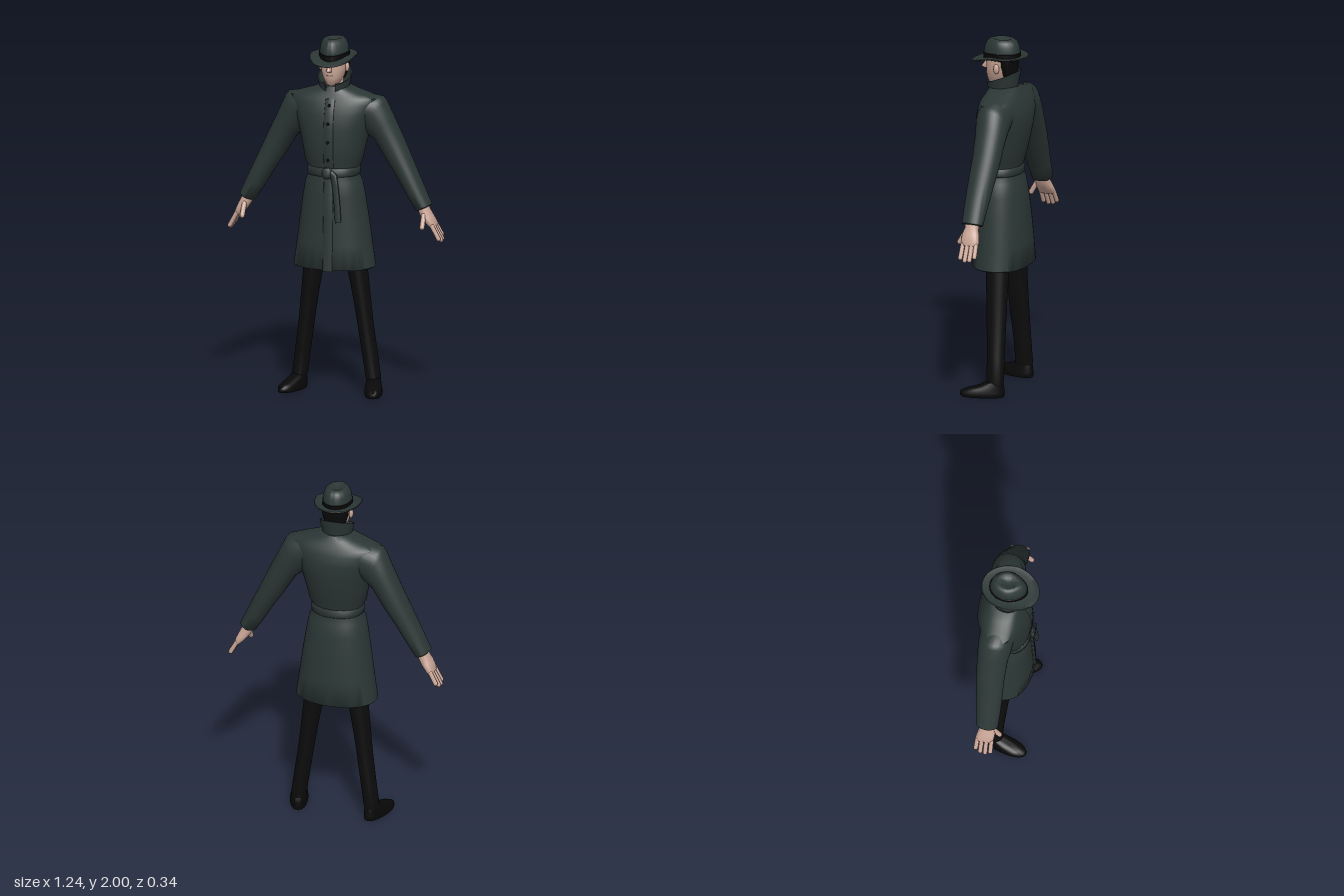
import * as THREE from 'three';
import { toCreasedNormals } from 'three/addons/utils/BufferGeometryUtils.js';

const mat = (name, color, side = THREE.FrontSide) => {
  const m = new THREE.MeshStandardMaterial({ color, side });
  m.name = name;
  return m;
};

// Closed solid through oval rings: [outerX, outerY, innerX, innerY, zFront, zBack]
function loft(rings, { seg = 32, power = 1, mirror = 1, crease = 0.9 } = {}) {
  const pos = [], idx = [];
  const bend = v => Math.sign(v) * Math.abs(v) ** power;
  for (const [ax, ay, bx, by, zf, zb] of rings) {
    for (let i = 0; i < seg; i++) {
      const t = i / seg * Math.PI * 2, c = bend(Math.cos(t)), s = bend(Math.sin(t));
      pos.push(mirror * ((ax + bx) / 2 + (ax - bx) / 2 * c), (ay + by) / 2 + (ay - by) / 2 * c,
        (zf + zb) / 2 + (zf - zb) / 2 * s);
    }
  }
  const n = rings.length;
  for (let r = 0; r < n - 1; r++) {
    for (let i = 0; i < seg; i++) {
      const j = (i + 1) % seg, a = r * seg + i, b = r * seg + j;
      idx.push(a, a + seg, b, b, a + seg, b + seg);
    }
  }
  for (const [r, end] of [[0, false], [n - 1, true]]) {
    const [ax, ay, bx, by, zf, zb] = rings[r], c = pos.length / 3;
    pos.push(mirror * (ax + bx) / 2, (ay + by) / 2, (zf + zb) / 2);
    for (let i = 0; i < seg; i++) {
      const a = r * seg + i, b = r * seg + (i + 1) % seg;
      idx.push(...(end ? [c, b, a] : [c, a, b]));
    }
  }
  // Turn the faces outward whichever way the rings run
  const v = k => new THREE.Vector3().fromArray(pos, idx[k] * 3);
  let volume = 0;
  for (let k = 0; k < idx.length; k += 3) volume += v(k).dot(v(k + 1).cross(v(k + 2)));
  if (volume < 0) idx.reverse();
  const g = new THREE.BufferGeometry();
  g.setAttribute('position', new THREE.Float32BufferAttribute(pos, 3));
  g.setIndex(idx);
  return toCreasedNormals(g, crease);
}

// Upright symmetric ring
const level = (y, rx, zf, zb) => [rx, y, -rx, y, zf, zb];

// Lathe whose vertices are then moved by a rule
function shapedLathe(points, rule, start = 0, length = Math.PI * 2) {
  const g = new THREE.LatheGeometry(points.map(p => new THREE.Vector2(...p)), 48, start, length);
  const p = g.attributes.position, v = new THREE.Vector3();
  for (let i = 0; i < p.count; i++) {
    rule(v.fromBufferAttribute(p, i));
    p.setXYZ(i, v.x, v.y, v.z);
  }
  return toCreasedNormals(g, 0.8);
}

// Rounded limb between two points
function capsule(a, b, r) {
  const A = new THREE.Vector3(...a), B = new THREE.Vector3(...b), d = B.clone().sub(A);
  const g = new THREE.CapsuleGeometry(r, d.length() - r, 4, 10);
  g.applyQuaternion(new THREE.Quaternion().setFromUnitVectors(new THREE.Vector3(0, 1, 0), d.normalize()));
  return g.translate(...A.add(B).multiplyScalar(0.5).toArray());
}

export function createModel() {
  const root = new THREE.Group();
  root.name = 'manInOvercoat';
  const cloth = mat('coatCloth', 0x2b3735, THREE.DoubleSide);
  const black = mat('blackCloth', 0x0c0c0d);
  const dark = mat('blackLeather', 0x080808);
  const skin = mat('skin', 0xc9a596);
  const lip = mat('lip', 0x8f6e63);
  const add = (name, geo, material) => {
    const m = new THREE.Mesh(geo, material);
    m.name = name;
    root.add(m);
    return m;
  };

  // Coat body, beginning with the lining inside the hem
  add('coat', loft([
    level(0.98, 0.16, 0.11, -0.12), level(0.73, 0.218, 0.134, -0.158), level(0.712, 0.224, 0.142, -0.166),
    level(0.718, 0.231, 0.147, -0.171), level(0.85, 0.212, 0.142, -0.164), level(1.0, 0.192, 0.136, -0.152),
    level(1.12, 0.174, 0.132, -0.139), level(1.2, 0.159, 0.128, -0.126), level(1.24, 0.14, 0.118, -0.11),
    level(1.275, 0.14, 0.118, -0.11), level(1.31, 0.16, 0.126, -0.12), level(1.4, 0.178, 0.132, -0.142),
    level(1.5, 0.203, 0.132, -0.161), level(1.58, 0.232, 0.122, -0.167), level(1.635, 0.252, 0.104, -0.155),
    level(1.67, 0.256, 0.088, -0.138), level(1.69, 0.2, 0.078, -0.126), level(1.71, 0.135, 0.07, -0.114),
    level(1.735, 0.075, 0.06, -0.098),
  ], { seg: 48, power: 0.92 }), cloth);

  // Overlapping front edge and buttons
  const edge = [[0.706, 0.147], [0.85, 0.142], [1.0, 0.136], [1.2, 0.128], [1.24, 0.118], [1.275, 0.118],
    [1.31, 0.126], [1.4, 0.132], [1.5, 0.132], [1.58, 0.122], [1.635, 0.104], [1.67, 0.088]];
  add('placket', loft(edge.map(([y, z]) => [0.034, y, -0.022, y, z + 0.004, z - 0.016]),
    { seg: 16, power: 0.5 }), cloth);
  for (const [y, z] of [[1.635, 0.107], [1.535, 0.131], [1.43, 0.136], [1.33, 0.131]]) {
    add('button', new THREE.CylinderGeometry(0.009, 0.009, 0.01, 14).rotateX(Math.PI / 2).translate(0.004, y, z), dark);
  }

  // Belt, knot and hanging end
  add('belt', loft([level(1.236, 0.143, 0.128, -0.118), level(1.24, 0.147, 0.131, -0.121),
    level(1.28, 0.147, 0.131, -0.121), level(1.284, 0.143, 0.128, -0.118)], { seg: 48, power: 0.92 }), cloth);
  add('beltKnot', loft([level(1.228, 0.018, 0.142, 0.11), level(1.24, 0.027, 0.149, 0.11),
    level(1.275, 0.027, 0.149, 0.11), level(1.288, 0.018, 0.142, 0.11)], { seg: 16, power: 0.6 }), cloth);
  const hang = [[0.015, 1.268, 0.142], [0.04, 1.248, 0.148], [0.05, 1.18, 0.146], [0.06, 1.08, 0.148], [0.068, 0.985, 0.155]];
  add('beltEnd', loft(hang.map(([x, y, z]) => [x + 0.017, y + 0.006, x - 0.017, y - 0.002, z, z - 0.018]),
    { seg: 16, power: 0.5 }), cloth);

  // Standing collar, open at the throat and higher behind
  add('collar', shapedLathe([[0.078, -0.012], [0.086, 0.03], [0.097, 0.078], [0.09, 0.078], [0.076, 0.03], [0.068, -0.012]],
    v => { v.z -= 0.012; v.y += 1.705 - 0.42 * v.z; }, 0.3, Math.PI * 2 - 0.6), cloth);

  // Head
  add('neck', new THREE.CylinderGeometry(0.047, 0.052, 0.13, 24).translate(0, 1.735, -0.008), skin);
  add('head', loft([level(1.738, 0.022, 0.066, -0.03), level(1.748, 0.036, 0.077, -0.05), level(1.785, 0.057, 0.086, -0.066),
    level(1.83, 0.07, 0.088, -0.076), level(1.87, 0.074, 0.085, -0.08), level(1.915, 0.072, 0.08, -0.08)],
  { power: 0.9 }), skin);
  add('nose', loft([level(1.822, 0.013, 0.108, 0.075), level(1.828, 0.015, 0.123, 0.075),
    level(1.85, 0.01, 0.108, 0.075), level(1.88, 0.008, 0.092, 0.07)], { seg: 12 }), skin);
  add('mouth', new THREE.BoxGeometry(0.034, 0.005, 0.008).translate(0, 1.799, 0.086), lip);
  add('hair', loft([level(1.765, 0.045, -0.03, -0.076), level(1.8, 0.062, -0.012, -0.083),
    level(1.85, 0.075, 0.0, -0.088), level(1.905, 0.077, 0.01, -0.088)], { power: 0.85 }), dark);

  // Hat: dipped brim, band and pinched crown
  const droop = z => -0.29 * Math.max(0, z - 0.03);
  add('hatBrim', shapedLathe([[0.06, 0], [0.1, -0.003], [0.129, 0.003], [0.131, 0.007], [0.128, 0.01], [0.1, 0.004], [0.06, 0.006]],
    v => { v.z = v.z * 1.24 + 0.01; v.y += 1.9 + droop(v.z); }), cloth);
  const taper = v => { v.z *= 1.3; v.x *= 1 - 1.6 * Math.max(0, v.z - 0.02); };
  add('hatBand', shapedLathe([[0.079, 1.885], [0.083, 1.888], [0.083, 1.924], [0.077, 1.926]],
    v => { taper(v); v.y += droop(v.z) * 0.5; }), dark);
  add('hatCrown', shapedLathe([[0.079, 1.89], [0.08, 1.925], [0.076, 1.96], [0.067, 1.985], [0.054, 1.998], [0.042, 2],
    [0.026, 1.99], [0, 1.984]], v => {
    const pinch = v.y > 1.94 ? 1.4 * Math.max(0, v.z) * (v.y - 1.94) / 0.06 : 0;
    taper(v);
    v.x *= 1 - 3 * pinch;
    v.y -= 0.12 * Math.max(0, v.z - 0.04) * (v.y > 1.94 ? 1 : 0);
  }), cloth);

  for (const [side, s] of [['left', 1], ['right', -1]]) {
    const opt = { mirror: s };
    add(side + 'Ear', new THREE.SphereGeometry(1, 14, 10).scale(0.012, 0.028, 0.017).translate(s * 0.076, 1.84, 0.004), skin);

    // Sleeve with a turned-in cuff
    add(side + 'Sleeve', loft([
      [0.19, 1.69, 0.1, 1.53, 0.07, -0.13], [0.27, 1.677, 0.15, 1.49, 0.06, -0.132], [0.288, 1.655, 0.175, 1.47, 0.058, -0.131],
      [0.33, 1.565, 0.222, 1.435, 0.044, -0.128], [0.388, 1.443, 0.3, 1.31, 0.036, -0.122], [0.44, 1.33, 0.36, 1.22, 0.036, -0.112],
      [0.5, 1.2, 0.42, 1.12, 0.034, -0.1], [0.552, 1.088, 0.466, 1.05, 0.03, -0.093], [0.546, 1.08, 0.472, 1.048, 0.024, -0.087],
      [0.535, 1.09, 0.475, 1.065, 0.016, -0.08],
    ], opt), cloth);

    // Hand
    add(side + 'Palm', loft([
      [0.522, 1.115, 0.466, 1.085, 0.008, -0.07], [0.542, 1.06, 0.486, 1.032, 0.008, -0.068], [0.56, 1.025, 0.508, 1.0, 0.018, -0.08],
      [0.577, 0.988, 0.535, 0.97, 0.014, -0.088], [0.58, 0.967, 0.552, 0.955, 0.008, -0.084],
    ], { ...opt, power: 0.8 }), skin);
    [[0.002, 0.92], [-0.025, 1.04], [-0.051, 1], [-0.076, 0.8]].forEach(([z, k]) =>
      add(side + 'Finger', capsule([s * 0.562, 0.975, z], [s * (0.562 + 0.048 * k), 0.975 - 0.088 * k, z * 1.06], 0.0125), skin));
    add(side + 'Thumb', capsule([s * 0.518, 1.035, 0.0], [s * 0.52, 0.96, 0.043], 0.014), skin);

    // Trouser leg
    add(side + 'TrouserLeg', loft([
      [0.15, 1.0, 0.005, 1.0, 0.06, -0.1], [0.18, 0.72, 0.072, 0.7, 0.042, -0.092], [0.197, 0.55, 0.1, 0.55, 0.03, -0.09],
      [0.212, 0.4, 0.124, 0.4, 0.02, -0.09], [0.236, 0.22, 0.15, 0.22, 0.008, -0.092], [0.254, 0.09, 0.168, 0.09, 0.004, -0.094],
      [0.252, 0.065, 0.174, 0.065, 0.006, -0.092],
    ], opt), black);

    // Shoe, turned outward
    const shoe = loft([level(0, 0.046, 0.186, -0.052), level(0.012, 0.05, 0.194, -0.056), level(0.03, 0.049, 0.19, -0.055),
      level(0.044, 0.046, 0.16, -0.054), level(0.06, 0.042, 0.1, -0.052), level(0.085, 0.037, 0.045, -0.044)], { power: 0.9 });
    add(side + 'Shoe', shoe.rotateY(s * 0.27).translate(s * 0.215, 0, -0.044), dark);
  }
  return root;
}
